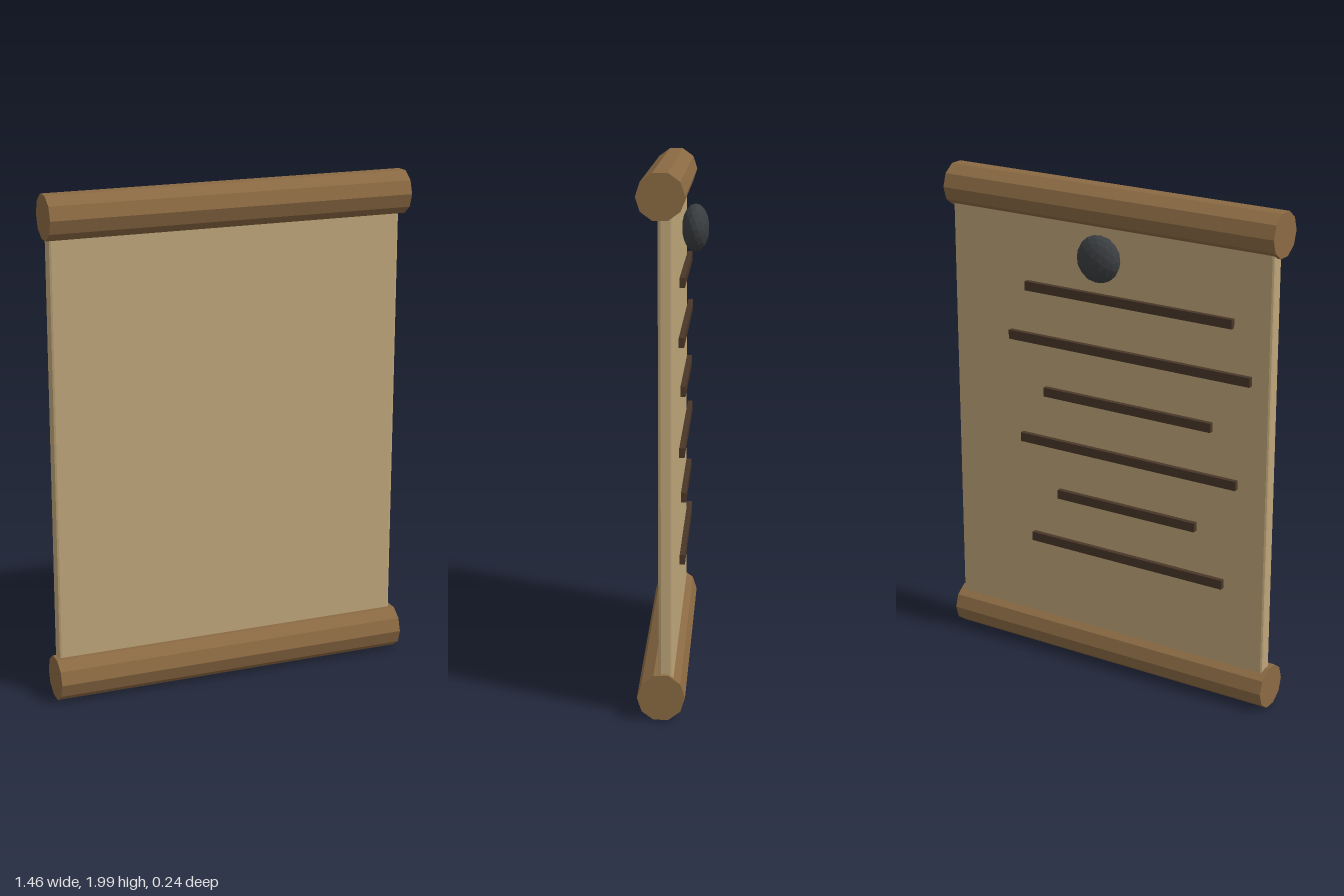
import * as THREE from 'three';

const mat = (color) => new THREE.MeshStandardMaterial({ color, flatShading: true });

export function createModel() {
  const model = new THREE.Group();
  const wood = mat(0x8b6a43), parchment = mat(0xbfa67a), ink = mat(0x4a3728), wax = mat(0x3b3e41);

  const add = (name, geometry, material, x, y, z) => {
    const mesh = new THREE.Mesh(geometry, material);
    mesh.name = name;
    mesh.position.set(x, y, z);
    model.add(mesh);
    return mesh;
  };

  // Ten-sided rods, one corner pointing straight up
  const r = 0.088;
  const rod = new THREE.CylinderGeometry(r, r, 1.46, 10).rotateX(Math.PI / 2);
  rod.rotateZ(Math.PI / 2).rotateY(Math.PI / 2);
  add('topRod', rod, wood, 0, 2 - r, 0.035);
  add('bottomRod', rod, wood, 0, r, 0.035);

  // Sheet with softened edges, its ends tucked into the rods
  const bevel = 0.01, w = 0.715 - bevel, h = 0.91 - bevel;
  const outline = new THREE.Shape([
    new THREE.Vector2(-w, -h), new THREE.Vector2(w, -h),
    new THREE.Vector2(w, h), new THREE.Vector2(-w, h),
  ]);
  const sheet = new THREE.ExtrudeGeometry(outline, {
    depth: 0.055 - 2 * bevel, bevelEnabled: true,
    bevelSize: bevel, bevelThickness: bevel, bevelSegments: 2,
  });
  add('sheet', sheet, parchment, 0, 1, -0.01 + bevel);

  // Raised lines of writing on the back
  [0.92, 1.08, 0.755, 0.98, 0.63, 0.88].forEach((length, i) => {
    add(`writingLine${i + 1}`, new THREE.BoxGeometry(length, 0.037, 0.02), ink,
      -0.1, 1.565 - i * 0.212, -0.029);
  });

  // Flattened faceted seal
  add('seal', new THREE.IcosahedronGeometry(1, 2), wax, 0, 1.735, -0.068)
    .scale.set(0.092, 0.093, 0.053);

  return model;
}
